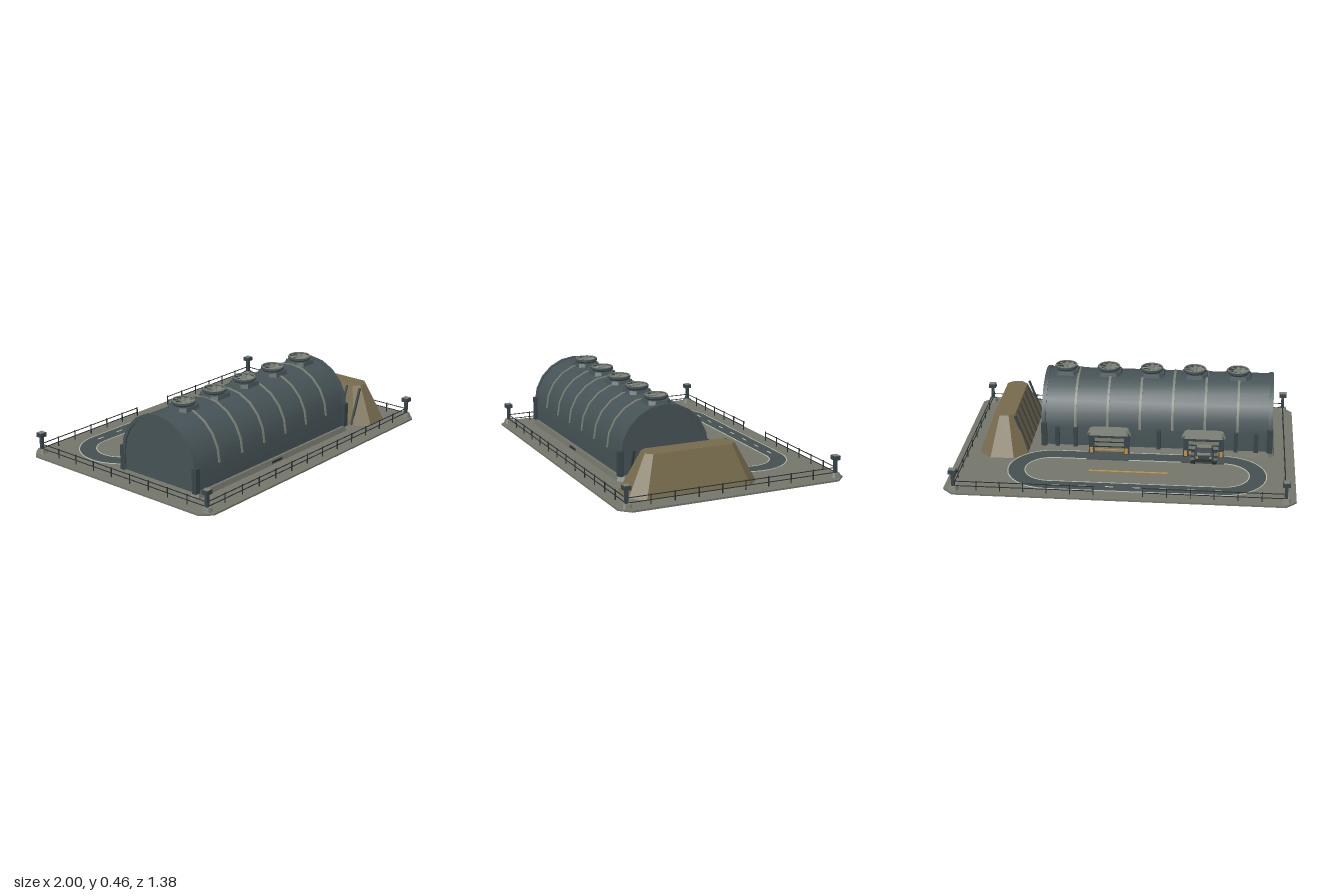
import * as THREE from 'three';
import { toCreasedNormals } from 'three/addons/utils/BufferGeometryUtils.js';
import { ConvexGeometry } from 'three/addons/geometries/ConvexGeometry.js';

const mat = (name, color) => {
  const m = new THREE.MeshStandardMaterial({ color });
  m.name = name;
  return m;
};

export function createModel() {
  const root = new THREE.Group();
  root.name = 'militaryDepot';
  const concrete = mat('concrete', 0x74766b);
  const slate = mat('slate shell', 0x465356);
  const asphalt = mat('asphalt', 0x465050);
  const earth = mat('earth', 0x766a4c);
  const trim = mat('grey trim', 0x7b7f74);
  const dark = mat('dark steel', 0x2a3031);
  const wall = mat('dark slate', 0x39454a);
  const white = mat('road paint', 0xb4bcae);
  const yellow = mat('yellow paint', 0xc8943a);

  const add = (name, geo, m, parent = root, x = 0, y = 0, z = 0) => {
    const mesh = new THREE.Mesh(geo, m);
    mesh.name = name;
    mesh.position.set(x, y, z);
    parent.add(mesh);
    return mesh;
  };
  const box = (name, m, w, h, d, x, y, z, parent = root) =>
    add(name, new THREE.BoxGeometry(w, h, d), m, parent, x, y, z);
  const group = (name, x = 0, y = 0, z = 0) => {
    const g = new THREE.Group();
    g.name = name;
    g.position.set(x, y, z);
    root.add(g);
    return g;
  };
  // Corner points of a chamfered rectangle at one height
  const octagon = (w, d, c, y) => [[1, 1], [1, -1], [-1, -1], [-1, 1]].flatMap(([sx, sz]) => [
    new THREE.Vector3(sx * w / 2, y, sz * (d / 2 - c)),
    new THREE.Vector3(sx * (w / 2 - c), y, sz * d / 2)]);
  const frustum = (w0, d0, c0, y0, w1, d1, c1, y1) =>
    new ConvexGeometry([...octagon(w0, d0, c0, y0), ...octagon(w1, d1, c1, y1)]);

  // Ground slab
  add('groundSlab', frustum(2, 1.38, 0.06, 0, 2, 1.38, 0.06, 0.01), concrete);

  // Oval service road with painted edges
  const oval = (Curve, r) => {
    const s = new Curve();
    s.absarc(0.5, 0, r, -Math.PI / 2, Math.PI / 2, false);
    s.absarc(-0.5, 0, r, Math.PI / 2, Math.PI * 1.5, false);
    s.closePath();
    return s;
  };
  const ovalRing = (name, ro, ri, m, h) => {
    const s = oval(THREE.Shape, ro);
    s.holes.push(oval(THREE.Path, ri));
    const g = new THREE.ExtrudeGeometry(s, { depth: h, bevelEnabled: false, curveSegments: 20 });
    add(name, g.rotateX(-Math.PI / 2), m, root, -0.08, 0.009, -0.335);
  };
  ovalRing('road', 0.255, 0.155, asphalt, 0.003);
  ovalRing('outerRoadEdge', 0.258, 0.252, white, 0.0045);
  ovalRing('innerRoadEdge', 0.158, 0.152, white, 0.0045);
  for (let i = 0; i < 7; i++) box('laneDash', white, 0.045, 0.005, 0.008, -0.56 + i * 0.155, 0.0115, -0.54);
  box('centreLine', yellow, 0.46, 0.004, 0.01, -0.03, 0.0115, -0.335);

  // Hangar: arched section extruded along x
  const hangarZ = 0.215;
  const arch = (Curve, r, low) => {
    const s = new Curve();
    s.moveTo(r, low);
    for (let i = 0; i <= 10; i++) {
      const a = i * Math.PI / 10;
      s.lineTo(r * Math.cos(a), 0.155 + r * Math.sin(a));
    }
    s.lineTo(-r, low);
    s.closePath();
    return s;
  };
  const archSlice = (name, r, low, x, len, m, inner) => {
    const s = arch(THREE.Shape, r, low);
    if (inner) s.holes.push(arch(THREE.Path, inner, low + 0.002));
    const g = new THREE.ExtrudeGeometry(s, { depth: len, bevelEnabled: false });
    g.rotateY(Math.PI / 2);
    add(name, toCreasedNormals(g, 0.5), m, root, x - len / 2, 0, hangarZ);
  };
  add('foundation', frustum(1.41, 0.575, 0.03, 0.01, 1.39, 0.56, 0.03, 0.04), concrete, root, -0.175, 0, hangarZ);
  archSlice('hangarShell', 0.265, 0.03, -0.175, 1.36, slate);
  for (const x of [-0.853, 0.503]) archSlice('endRim', 0.271, 0.035, x, 0.024, slate, 0.25);
  for (let i = 0; i < 6; i++) archSlice('roofRib', 0.27, 0.17, -0.657 + i * 0.194, 0.014, trim);
  for (const x of [-0.85, 0.5]) for (const z of [-0.055, 0.482])
    box('cornerPillar', wall, 0.034, 0.145, 0.03, x, 0.11, z);
  for (const x of [-0.77, -0.65, -0.19, 0.31, 0.42])
    box('wallButtress', wall, 0.025, 0.12, 0.03, x, 0.1, -0.06);
  box('frontVent', dark, 0.09, 0.012, 0.01, -0.175, 0.024, 0.498);

  // Roof fans
  for (let i = 0; i < 5; i++) {
    const fan = group('roofFan', -0.65 + i * 0.261, 0, hangarZ);
    add('fanPlinth', frustum(0.168, 0.145, 0.03, 0.405, 0.15, 0.13, 0.03, 0.432), slate, fan);
    const profile = [[0.058, 0.43], [0.068, 0.442], [0.068, 0.454], [0.058, 0.456], [0.055, 0.438]];
    const ring = new THREE.LatheGeometry(profile.map(p => new THREE.Vector2(...p)), 20);
    const ringMat = slate;
    add('fanHousing', toCreasedNormals(ring, 0.5), ringMat, fan);
    add('fanRim', new THREE.TorusGeometry(0.062, 0.004, 6, 24).rotateX(Math.PI / 2), trim, fan, 0, 0.455, 0);
    add('fanWell', new THREE.CylinderGeometry(0.057, 0.057, 0.01, 20), dark, fan, 0, 0.436, 0);
    for (let k = 0; k < 8; k++) {
      const pivot = new THREE.Group();
      pivot.name = 'fanBlade';
      pivot.rotation.y = k * Math.PI / 4;
      box('blade', trim, 0.042, 0.004, 0.016, 0.034, 0.45, 0, pivot).rotation.x = 0.35;
      fan.add(pivot);
    }
    add('fanHub', new THREE.CylinderGeometry(0.014, 0.017, 0.02, 12), trim, fan, 0, 0.45, 0);
  }

  // Vehicle gates on the rear wall
  for (const x of [-0.46, 0.105]) {
    const gate = group('gate', x, 0, -0.06);
    box('apron', asphalt, 0.25, 0.006, 0.13, 0, 0.013, -0.06, gate);
    box('gateDoor', trim, 0.18, 0.12, 0.012, 0, 0.075, -0.014, gate);
    for (let k = 0; k < 3; k++) box('doorSlat', dark, 0.18, 0.005, 0.006, 0, 0.05 + k * 0.03, -0.022, gate);
    box('doorStripe', yellow, 0.17, 0.008, 0.004, 0, 0.03, -0.021, gate);
    for (const s of [-1, 1]) {
      box('jamb', wall, 0.03, 0.14, 0.055, s * 0.105, 0.08, -0.025, gate);
      box('jambMarker', yellow, 0.018, 0.035, 0.006, s * 0.105, 0.04, -0.054, gate);
    }
    const header = frustum(0.26, 0.07, 0.02, 0.138, 0.23, 0.055, 0.018, 0.17);
    add('gateHeader', header, trim, gate, 0, 0, -0.026);
    box('headerBand', wall, 0.2, 0.016, 0.012, 0, 0.132, -0.05, gate);
  }

  // Utility truck parked at the first gate
  const truck = group('truck', -0.465, 0.012, -0.155);
  box('chassis', dark, 0.12, 0.02, 0.11, 0, 0.03, 0, truck);
  box('bonnet', wall, 0.115, 0.022, 0.05, 0, 0.048, -0.03, truck);
  add('cab', frustum(0.115, 0.07, 0.008, 0.04, 0.095, 0.05, 0.008, 0.085), wall, truck, 0, 0, 0.025);
  box('roofPlate', trim, 0.085, 0.004, 0.04, 0, 0.086, 0.025, truck);
  box('bonnetPlate', trim, 0.08, 0.004, 0.03, 0, 0.06, -0.03, truck);
  box('bumper', dark, 0.14, 0.012, 0.01, 0, 0.028, -0.056, truck);
  for (const s of [-1, 1]) {
    box('headlight', yellow, 0.014, 0.01, 0.004, s * 0.04, 0.05, -0.056, truck);
    for (const z of [-0.035, 0.035])
      add('wheel', new THREE.CylinderGeometry(0.024, 0.024, 0.026, 14).rotateZ(Math.PI / 2), dark, truck, s * 0.064, 0.024, z);
  }

  // Earth berm with retaining ribs on its inner slope
  add('berm', frustum(0.29, 0.775, 0.075, 0.01, 0.125, 0.545, 0.035, 0.235), earth, root, 0.735, 0, 0.18);
  for (let i = 0; i < 7; i++)
    box('bermRib', wall, 0.012, 0.23, 0.012, 0.631, 0.122, -0.085 + i * 0.093).rotation.z = -0.351;

  // Corner lamp posts
  for (const x of [-0.94, 0.94]) for (const z of [-0.64, 0.64]) {
    const lamp = group('lampPost', x, 0, z);
    add('lampBase', frustum(0.055, 0.055, 0.01, 0.01, 0.042, 0.042, 0.008, 0.035), trim, lamp);
    box('lampStem', wall, 0.018, 0.08, 0.018, 0, 0.073, 0, lamp);
    box('lampHead', wall, 0.044, 0.024, 0.04, 0, 0.122, 0, lamp);
    box('lampCap', trim, 0.036, 0.004, 0.034, 0, 0.135, 0, lamp);
  }

  // Perimeter fence, open at the rear entrance
  const fence = (x0, z0, x1, z1, n) => {
    const run = group('fenceRun', x0, 0, z0);
    const dx = x1 - x0, dz = z1 - z0;
    for (let i = 0; i <= n; i++) box('fencePost', dark, 0.005, 0.06, 0.005, dx * i / n, 0.039, dz * i / n, run);
    for (const y of [0.035, 0.063])
      box('fenceRail', dark, Math.abs(dx) + 0.004, 0.004, Math.abs(dz) + 0.004, dx / 2, y, dz / 2, run);
  };
  fence(-0.94, 0.64, 0.94, 0.64, 13);
  for (const x of [-0.94, 0.94]) fence(x, -0.64, x, 0.64, 9);
  fence(-0.94, -0.645, -0.14, -0.645, 6);
  fence(0.14, -0.645, 0.94, -0.645, 6);

  return root;
}
